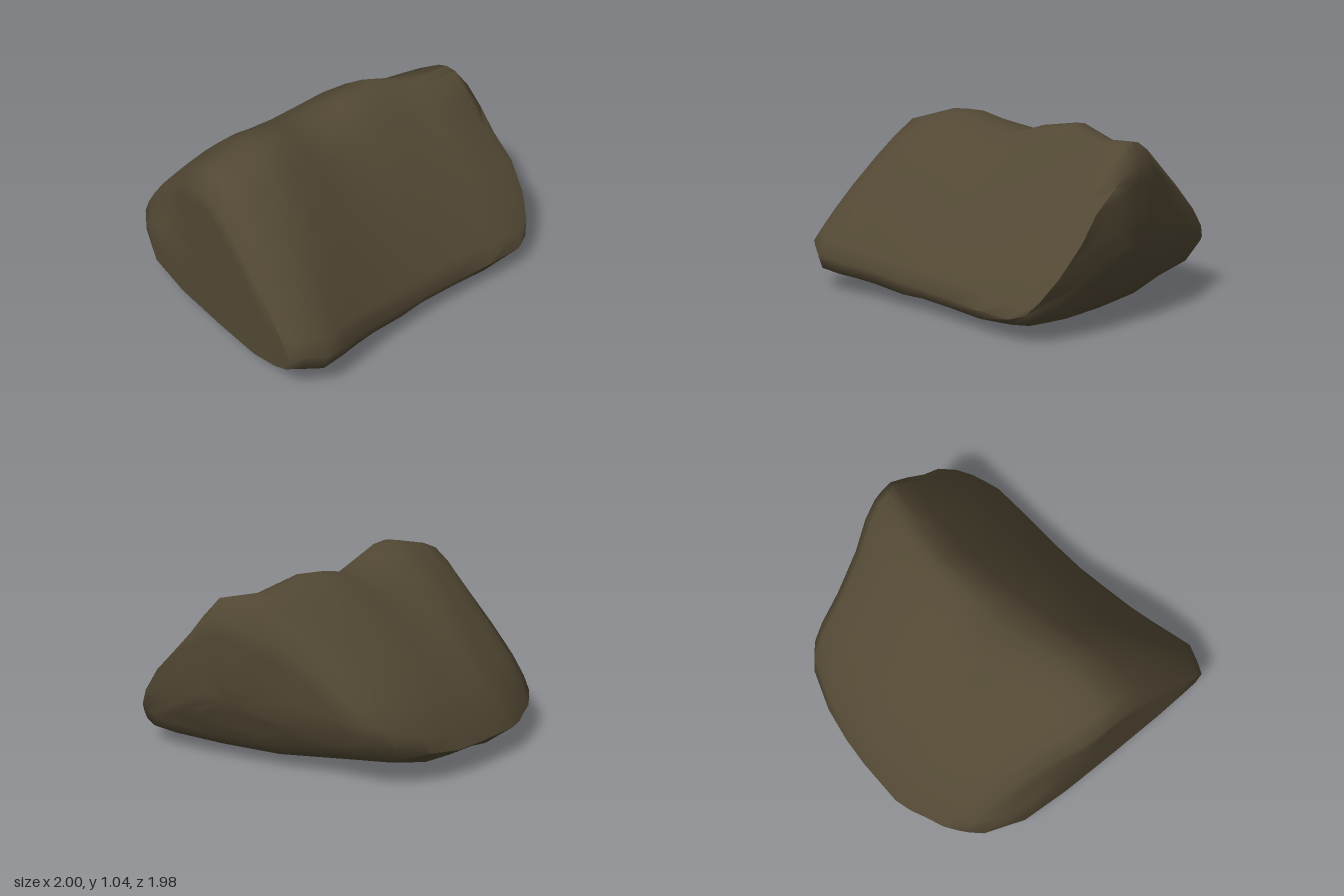
import * as THREE from 'three';
import { toCreasedNormals } from 'three/addons/utils/BufferGeometryUtils.js';

// piecewise linear lookup through [key, value] pairs
function lookup(pairs, k) {
  if (k <= pairs[0][0]) return pairs[0][1];
  for (let i = 1; i < pairs.length; i++) {
    const [k0, v0] = pairs[i - 1], [k1, v1] = pairs[i];
    if (k <= k1) return v0 + (v1 - v0) * (k - k0) / (k1 - k0);
  }
  return pairs[pairs.length - 1][1];
}

// plan outline of the two ends: [z, x]
const leftEnd = [[-0.79, -0.81], [-0.68, -0.88], [-0.43, -0.96], [0.1, -0.98], [0.9, -1]];
const rightEnd = [[-0.8, 0.65], [-0.43, 0.74], [-0.25, 0.82], [-0.07, 0.93], [0.18, 0.98],
  [0.35, 0.96], [0.5, 1], [0.7, 0.98], [0.8, 0.92]];

// stations along the ridge:
// t, front z, front y, back z, back y, ridge z, ridge y, ridge half width, base y, front bulge
const stations = [
  [0, 0.9, 0.26, -0.79, 0.22, 0.12, 0.88, 0.1, 0.06, 0.38],
  [0.04, 0.94, 0.25, -0.83, 0.2, 0.12, 0.97, 0.1, 0.05, 0.35],
  [0.1, 0.99, 0.22, -0.88, 0.18, 0.11, 1.0, 0.1, 0.04, 0.4],
  [0.18, 0.96, 0.2, -0.92, 0.17, 0.1, 1.04, 0.1, 0.03, 0.4],
  [0.25, 0.93, 0.19, -0.96, 0.16, 0.08, 1.04, 0.1, 0.03, 0.38],
  [0.33, 0.9, 0.18, -0.99, 0.16, 0.05, 1.0, 0.11, 0.02, 0.36],
  [0.46, 0.87, 0.16, -0.99, 0.16, -0.02, 0.95, 0.13, 0.0, 0.33],
  [0.55, 0.85, 0.15, -0.99, 0.16, -0.02, 1.0, 0.09, 0.02, 0.24],
  [0.69, 0.84, 0.14, -0.975, 0.16, -0.04, 1.04, 0.07, 0.02, 0.2],
  [0.83, 0.84, 0.13, -0.94, 0.19, 0, 0.98, 0.07, 0.02, 0.18],
  [0.96, 0.83, 0.13, -0.86, 0.27, 0.04, 1.0, 0.06, 0.06, 0.18],
  [1, 0.79, 0.16, -0.79, 0.32, 0.06, 0.89, 0.07, 0.09, 0.3],
];

// slope shapes: [fraction inward, fraction upward] at the back, fraction at the front
const backSlope = [[0.05, 0.13], [0.16, 0.31], [0.38, 0.54], [0.66, 0.78], [0.86, 0.92]];
const frontSlope = [0.82, 0.62, 0.42, 0.22, 0.08];

// closed cross-section, counter-clockwise seen from +x
function section([, zf, yf, zb, yb, rz, ry, w, base, bulge]) {
  const shoulder = ry - 0.012;
  return [
    [zf, yf], [zf - 0.03, yf * 0.5 + base * 0.5], [zf - 0.12, yf * 0.3 + base * 0.7],
    [zf * 0.64, base + 0.01], [zf * 0.25, base], [zb * 0.2, base],
    [zb * 0.6, base + 0.03], [zb * 0.91, base + 0.08], [zb, yb],
    ...backSlope.map(([a, b]) => [zb + (rz - w - zb) * a, yb + (shoulder - yb) * b]),
    [rz - w, shoulder], [rz, ry], [rz + w, shoulder],
    ...frontSlope.map((a) => [zf + (rz + w - zf) * a, yf + (shoulder - yf) * (a + bulge * a * (1 - a))]),
  ];
}

// shrink a cross-section about its middle, for the end caps
const shrink = (ring, s) => ring.map(([z, y]) => [0.03 + (z - 0.03) * s, 0.42 + (y - 0.42) * s]);

// the left end leans inward towards the top of its back corner
function leftX(z, y) {
  return lookup(leftEnd, z) + 0.75 * Math.max(0, -z - 0.05) * Math.max(0, y - 0.25);
}

// the right end is undercut behind its front corner, with a shallow hollow in its middle
function rightX(z, y) {
  const depth = lookup([[0.3, 1.3], [0.7, 0.6]], z);
  const undercut = depth * Math.max(0, 0.45 - y) ** 2;
  const hollow = 0.05 * Math.exp(-((z - 0.02) ** 2 + (y - 0.28) ** 2) / 0.03);
  return lookup(rightEnd, z) - undercut - hollow;
}

function rockGeometry() {
  const rings = stations.map((s) => ({ t: s[0], pts: section(s) }));
  const first = rings[0].pts, last = rings[rings.length - 1].pts;
  for (const s of [0.8, 0.55, 0.28, 0]) {
    rings.unshift({ t: 0, pts: shrink(first, s) });
    rings.push({ t: 1, pts: shrink(last, s) });
  }
  const n = first.length, pos = [], index = [];
  for (const { t, pts } of rings) {
    for (const [z, y] of pts) {
      const x0 = leftX(z, y);
      pos.push(x0 + (rightX(z, y) - x0) * t, y, z);
    }
  }
  for (let i = 0; i < rings.length - 1; i++) {
    for (let j = 0; j < n; j++) {
      const a = i * n + j, b = i * n + (j + 1) % n;
      index.push(a, b, a + n, b, b + n, a + n);
    }
  }
  const g = new THREE.BufferGeometry();
  g.setAttribute('position', new THREE.Float32BufferAttribute(pos, 3));
  g.setIndex(index);
  return toCreasedNormals(g, 1.15);
}

export function createModel() {
  const stone = new THREE.MeshStandardMaterial({ color: 0x524834 });
  stone.name = 'brown stone';
  const group = new THREE.Group();
  group.name = 'rock';
  const rock = new THREE.Mesh(rockGeometry(), stone);
  rock.name = 'boulder';
  group.add(rock);
  return group;
}
